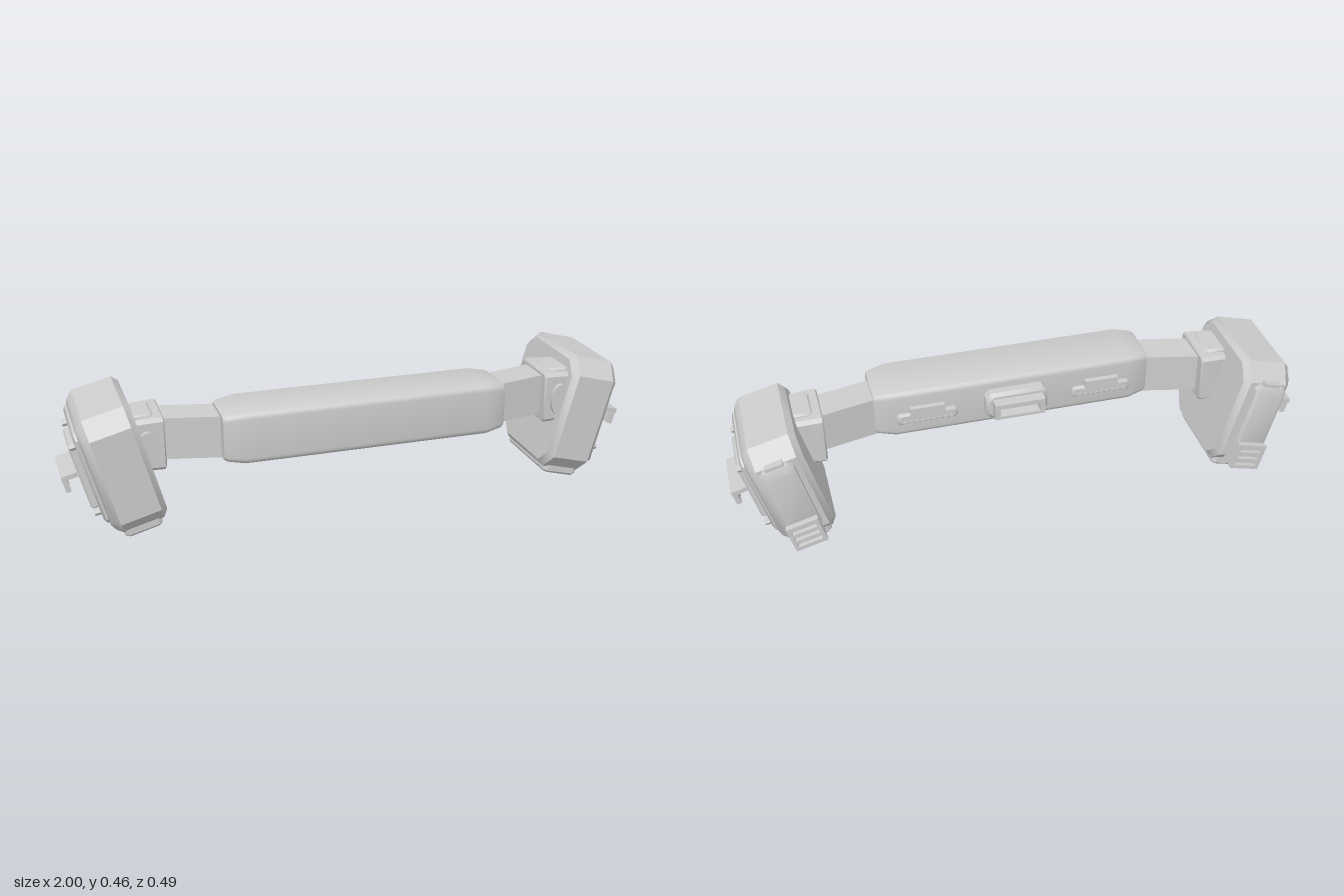
import * as THREE from 'three';
import { toCreasedNormals } from 'three/addons/utils/BufferGeometryUtils.js';

const grey = new THREE.MeshStandardMaterial({ color: 0xcccccc });
grey.name = 'light grey';

// Outline of a rectangle with cut (n = 1) or rounded (n > 1) corners, counter-clockwise
function outline(w, h, c, n) {
  const pts = [];
  [[1, 1], [-1, 1], [-1, -1], [1, -1]].forEach(([sx, sy], q) => {
    for (let i = 0; i <= n; i++) {
      const a = (q + i / n) * Math.PI / 2;
      pts.push([sx * (w / 2 - c) + c * Math.cos(a), sy * (h / 2 - c) + c * Math.sin(a)]);
    }
  });
  return pts;
}

// Solid through sections [z, width, height, corner] along +z
function loft(sections, n = 1) {
  const rings = sections.map(([z, w, h, c]) => outline(w, h, c, n).map(([x, y]) => [x, y, z]));
  const pos = [];
  const tri = (a, b, c) => pos.push(...a, ...b, ...c);
  const m = rings[0].length, last = rings[rings.length - 1];
  for (let k = 0; k < rings.length - 1; k++) {
    for (let i = 0; i < m; i++) {
      const j = (i + 1) % m, a = rings[k], b = rings[k + 1];
      tri(a[i], a[j], b[j]);
      tri(a[i], b[j], b[i]);
    }
  }
  for (let i = 1; i < m - 1; i++) {
    tri(rings[0][0], rings[0][i + 1], rings[0][i]);
    tri(last[0], last[i], last[i + 1]);
  }
  const g = new THREE.BufferGeometry();
  g.setAttribute('position', new THREE.Float32BufferAttribute(pos, 3));
  return toCreasedNormals(g, 0.6);
}

// Extruded polygon along +z with rectangular holes [x0, y0, x1, y1]
function pierced(points, holes, depth, bevel = 0) {
  const shape = new THREE.Shape(points.map(([x, y]) => new THREE.Vector2(x, y)));
  for (const [x0, y0, x1, y1] of holes) {
    shape.holes.push(new THREE.Path([[x0, y0], [x0, y1], [x1, y1], [x1, y0]].map(([x, y]) => new THREE.Vector2(x, y))));
  }
  return new THREE.ExtrudeGeometry(shape, {
    depth, bevelEnabled: bevel > 0, bevelSize: bevel, bevelThickness: bevel, bevelOffset: -bevel, bevelSegments: 1,
  });
}

const rect = (w, h) => [[-w / 2, -h / 2], [w / 2, -h / 2], [w / 2, h / 2], [-w / 2, h / 2]];

function add(parent, name, geometry, x, y, z, ry = 0) {
  const mesh = new THREE.Mesh(geometry, grey);
  mesh.name = name;
  mesh.position.set(x, y, z);
  mesh.rotation.y = ry;
  parent.add(mesh);
  return mesh;
}

// Tilted end pod; s = 1 is the model's left, -1 its right
function makePod(s) {
  const pod = new THREE.Group();
  pod.name = s > 0 ? 'leftPod' : 'rightPod';
  pod.rotation.z = -s * Math.PI / 12;
  const out = s * Math.PI / 2, zc = 0.007;

  add(pod, 'podShell', loft([
    [0.626, 0.365, 0.38, 0.05], [0.645, 0.403, 0.418, 0.056],
    [0.782, 0.403, 0.418, 0.056], [0.803, 0.365, 0.385, 0.045], [0.813, 0.325, 0.35, 0.03],
  ]), 0, 0.44, zc, out);
  add(pod, 'podFoot', loft([
    [0, 0.118, 0.298, 0.01], [0.008, 0.13, 0.312, 0.012], [0.04, 0.13, 0.312, 0.012],
  ]).rotateX(-Math.PI / 2), s * 0.718, 0.21, 0.005);

  // Outer face: stepped plate, cover, hooked latch and corner bolts
  add(pod, 'outerPlate', loft([
    [0.80, 0.302, 0.336, 0.022], [0.82, 0.302, 0.336, 0.022], [0.828, 0.28, 0.312, 0.02],
  ]), 0, 0.445, zc, out);
  add(pod, 'outerCover', pierced(
    [[-0.105, -0.108], [-0.098, -0.114], [0.098, -0.114], [0.105, -0.108], [0.092, 0.10], [0.08, 0.114], [-0.08, 0.114], [-0.092, 0.10]],
    [], 0.022, 0.007), s * 0.824, 0.443, zc, out);
  add(pod, 'latchLedge', new THREE.BoxGeometry(0.07, 0.016, 0.184), s * 0.873, 0.46, zc);
  add(pod, 'latchLip', pierced(rect(0.172, 0.06), [[-0.08, -0.022, 0.08, 0.02]], 0.016),
    s * 0.892, 0.438, zc, out);
  add(pod, 'latchPanel', new THREE.BoxGeometry(0.012, 0.05, 0.164), s * 0.899, 0.438, zc);
  for (const [v, dz] of [[0.563, 0.109], [0.324, 0.12]]) {
    for (const side of [-1, 1]) {
      const bolt = add(pod, 'bolt', toCreasedNormals(new THREE.CylinderGeometry(0.011, 0.014, 0.025, 6), 0.5),
        s * 0.836, v, zc + side * dz);
      bolt.rotation.z = -s * Math.PI / 2;
    }
  }

  // Back: raised panel with a slotted vent below it
  add(pod, 'backPanel', loft([
    [0, 0.115, 0.29, 0.015], [0.028, 0.115, 0.29, 0.015], [0.036, 0.095, 0.25, 0.012],
  ]), s * 0.72, 0.445, -0.188, Math.PI);
  add(pod, 'backPanelCatch', new THREE.BoxGeometry(0.06, 0.03, 0.025), s * 0.72, 0.587, -0.2);
  add(pod, 'ventBlock', new THREE.BoxGeometry(0.105, 0.1, 0.05), s * 0.72, 0.316, -0.205);
  const slots = [-0.036, -0.008, 0.02].map((y) => [-0.042, y, 0.042, y + 0.016]);
  add(pod, 'ventGrille', pierced(rect(0.11, 0.1), slots, 0.018), s * 0.72, 0.316, -0.227, Math.PI);
  return pod;
}

// Arm and bracket joining the bar to a pod
function makeArm(s) {
  const arm = new THREE.Group();
  arm.name = s > 0 ? 'leftArm' : 'rightArm';
  add(arm, 'armBeam', new THREE.BoxGeometry(0.29, 0.142, 0.118), s * 0.575, 0.326, 0.097, s * 0.225);
  add(arm, 'bracketFlange', loft([
    [0.665, 0.185, 0.17, 0.012], [0.67, 0.195, 0.18, 0.012], [0.69, 0.195, 0.18, 0.012], [0.80, 0.18, 0.165, 0.012],
  ]), 0, 0.32, 0.072, s * Math.PI / 2);
  add(arm, 'bracketCap', loft([
    [0, 0.08, 0.13, 0.012], [0.015, 0.08, 0.13, 0.012], [0.022, 0.065, 0.115, 0.01],
  ]).rotateX(-Math.PI / 2), s * 0.735, 0.395, 0.075);
  const disc = add(arm, 'pivotDisc', new THREE.CylinderGeometry(0.058, 0.058, 0.04, 32), s * 0.722, 0.313, 0.163);
  disc.rotation.x = Math.PI / 2;
  disc.scale.x = 0.6;
  return arm;
}

export function createModel() {
  const model = new THREE.Group();
  model.name = 'gripBarWithPods';

  // Central padded bar with tapered ends
  add(model, 'gripBar', loft([
    [-0.488, 0.165, 0.15, 0.018], [-0.478, 0.18, 0.16, 0.02], [-0.42, 0.207, 0.178, 0.022],
    [0.42, 0.207, 0.178, 0.022], [0.478, 0.18, 0.16, 0.02], [0.488, 0.165, 0.15, 0.018],
  ], 5), 0, 0.333, 0.138, Math.PI / 2);

  // Back of the bar: central control housing
  add(model, 'controlHousing', loft([
    [0, 0.22, 0.1, 0.018], [0.03, 0.22, 0.1, 0.018], [0.042, 0.195, 0.078, 0.014],
  ]), 0, 0.333, 0.038, Math.PI);
  add(model, 'controlFrame', pierced(rect(0.176, 0.058), [[-0.07, -0.018, 0.07, 0.014]], 0.045),
    0, 0.335, 0.002, Math.PI);

  // Side clips: ribbed plate with a raised bar along its upper edge
  for (const s of [-1, 1]) {
    add(model, 'clipPlate', loft([
      [0, 0.21, 0.04, 0.008], [0.012, 0.21, 0.04, 0.008], [0.018, 0.195, 0.028, 0.006],
    ]), s * 0.31, 0.32, 0.038, Math.PI);
    add(model, 'clipBar', new THREE.BoxGeometry(0.12, 0.026, 0.03), s * 0.31, 0.35, 0.03);
    for (let i = -4; i <= 4; i++) {
      add(model, 'clipRib', new THREE.BoxGeometry(0.008, 0.012, 0.01), s * 0.31 + i * 0.02, 0.309, 0.021);
    }
    model.add(makeArm(s), makePod(s));
  }
  return model;
}
